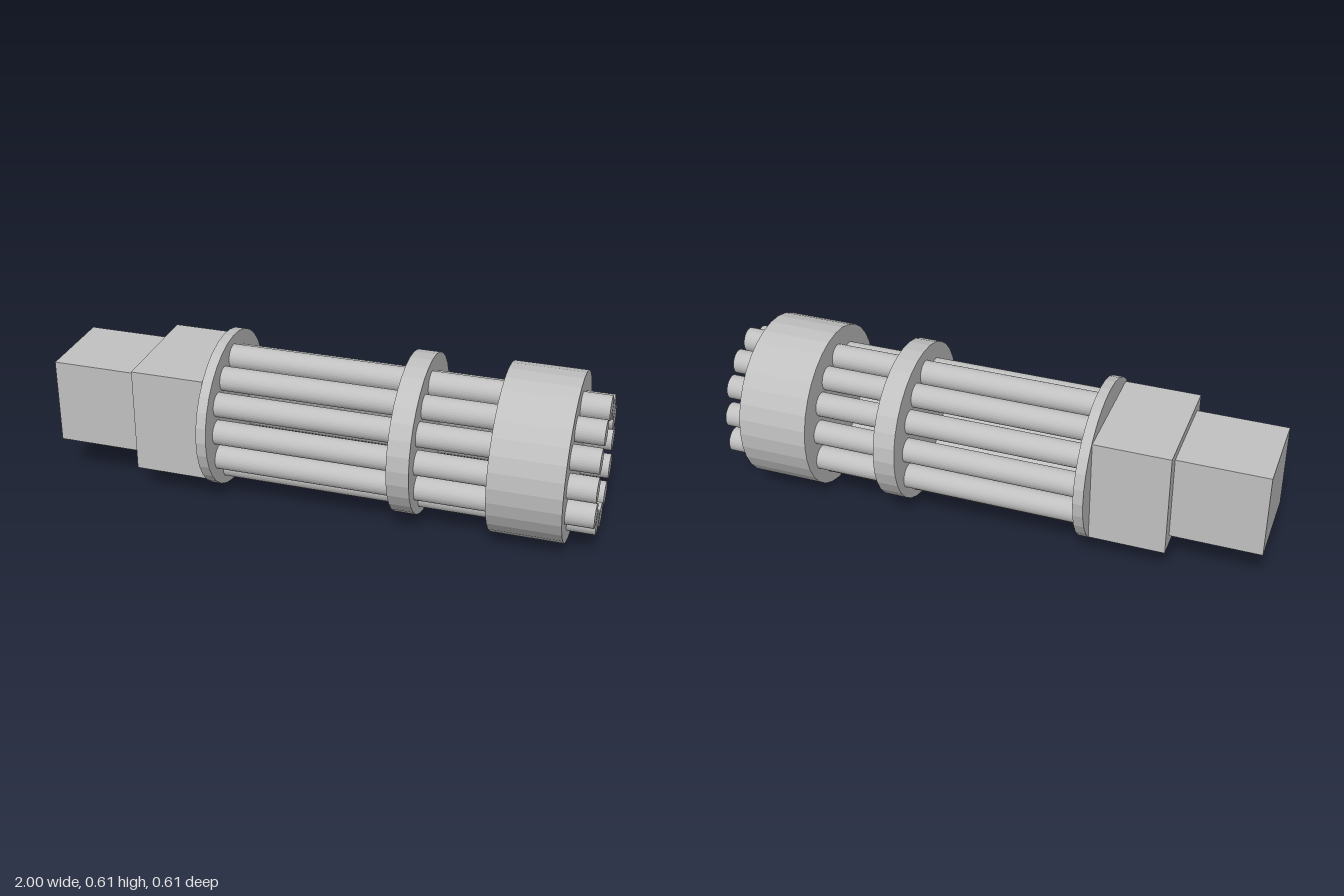
import * as THREE from 'three';

export function createModel() {
  const model = new THREE.Group();
  model.name = 'rotaryBarrelAssembly';
  const steel = new THREE.MeshStandardMaterial({ color: 0xc0c0c0, flatShading: true });
  steel.name = 'grey steel';

  const add = (name, geometry, x, y, z) => {
    const mesh = new THREE.Mesh(geometry, steel);
    mesh.name = name;
    mesh.position.set(x, y, z);
    model.add(mesh);
  };

  // Cylinder lying along x between two ends, with separate y and z radii
  const rod = (name, x0, x1, y, z, ry, rz = ry) => {
    const geometry = new THREE.CylinderGeometry(1, 1, x1 - x0, 32);
    geometry.rotateZ(-Math.PI / 2).scale(1, ry, rz);
    add(name, geometry, (x0 + x1) / 2, y, z);
  };

  // Box given by its low and high corners
  const block = (name, a, b) => add(
    name,
    new THREE.BoxGeometry(b[0] - a[0], b[1] - a[1], b[2] - a[2]),
    (a[0] + b[0]) / 2, (a[1] + b[1]) / 2, (a[2] + b[2]) / 2
  );

  // Stepped housing at the rear
  block('rearHousing', [-1, 0.144, -0.165], [-0.672, 0.464, 0.156]);
  block('frontHousing', [-0.672, 0.104, -0.216], [-0.395, 0.497, 0.208]);

  // Discs that hold the barrels
  rod('rearPlate', -0.397, -0.36, 0.304, -0.002, 0.285, 0.303);
  rod('middleClamp', 0.295, 0.375, 0.31, -0.002, 0.289, 0.303);
  rod('muzzleClamp', 0.641, 0.9, 0.304, 0, 0.303, 0.304);

  // Slightly uneven ring of barrels, as [y, z] centres
  const centres = [
    [0.511, 0.004], [0.469, -0.088], [0.396, -0.153], [0.295, -0.185],
    [0.182, -0.182], [0.115, -0.101], [0.084, -0.003], [0.115, 0.1],
    [0.187, 0.176], [0.295, 0.19], [0.397, 0.172], [0.467, 0.101],
  ];
  centres.forEach(([y, z], i) => rod(`barrel${i + 1}`, -0.37, 1, y, z, 0.0445));

  return model;
}
